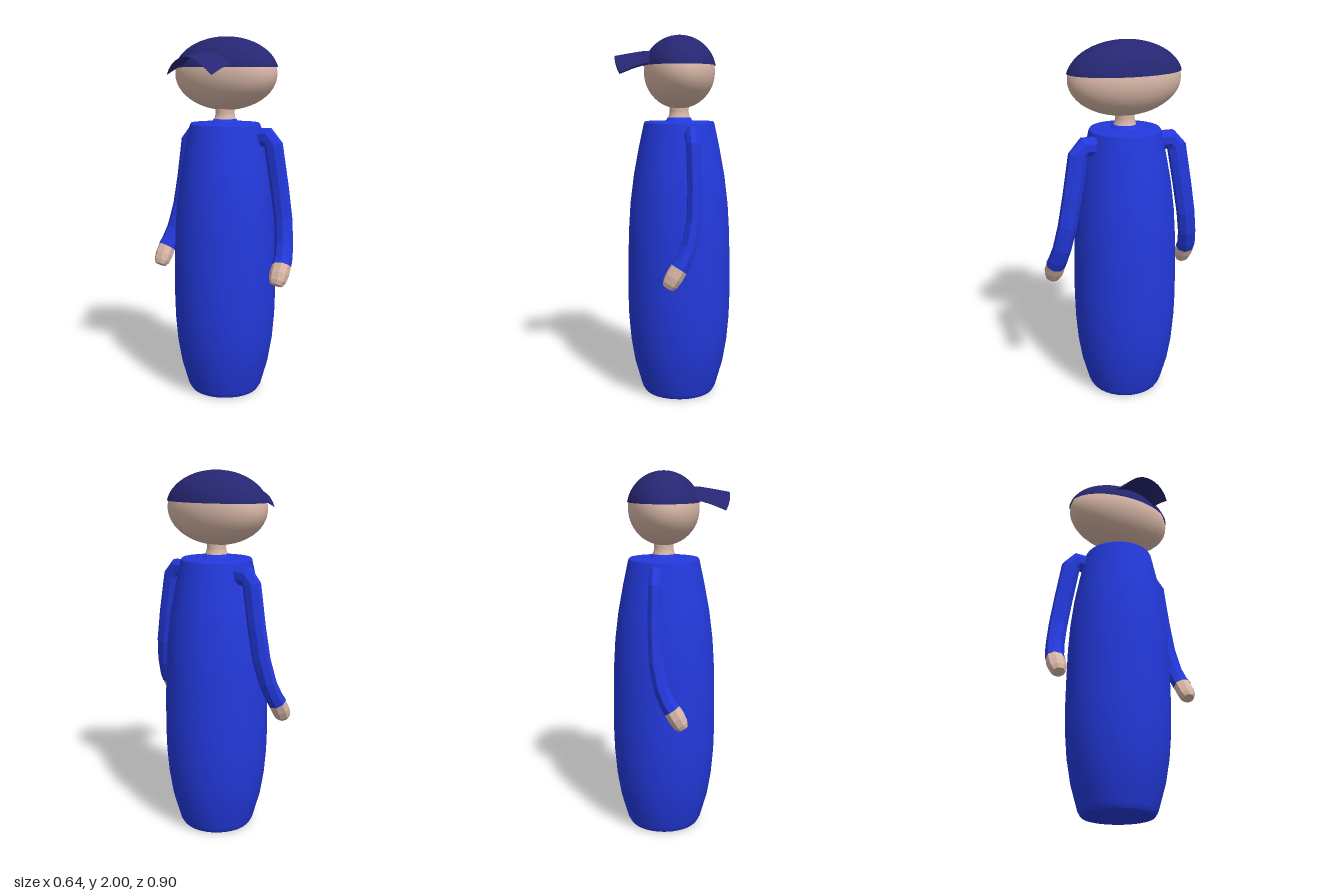
import * as THREE from 'three';

const mat = (name, color, extra = {}) => {
  const m = new THREE.MeshStandardMaterial({ color, ...extra });
  m.name = name;
  return m;
};

// Ruled grid of points turned into a surface: point(row, column) returns [x, y, z]
function gridSurface(rows, cols, point) {
  const pos = [], idx = [];
  for (let r = 0; r <= rows; r++) for (let c = 0; c <= cols; c++) pos.push(...point(r, c));
  for (let r = 0; r < rows; r++) for (let c = 0; c < cols; c++) {
    const a = r * (cols + 1) + c, b = a + cols + 1;
    idx.push(a, a + 1, b, a + 1, b + 1, b);
  }
  const g = new THREE.BufferGeometry();
  g.setAttribute('position', new THREE.Float32BufferAttribute(pos, 3));
  g.setIndex(idx);
  g.computeVertexNormals();
  return g;
}

// Eight-sided limb through stations [x, y, z, halfWidth, halfDepth], capped at both ends
function limb(stations) {
  const P = stations.map(s => new THREE.Vector3(s[0], s[1], s[2]));
  const n = P.length, pos = [], idx = [];
  stations.forEach((s, i) => {
    const t = P[Math.min(i + 1, n - 1)].clone().sub(P[Math.max(i - 1, 0)]).normalize();
    const u = new THREE.Vector3(1, 0, 0).addScaledVector(t, -t.x).normalize();
    const v = t.clone().cross(u);
    for (let k = 0; k < 8; k++) {
      const a = (k + 0.5) * Math.PI / 4;
      const p = P[i].clone().addScaledVector(u, Math.cos(a) * s[3] * 1.06).addScaledVector(v, Math.sin(a) * s[4] * 1.06);
      pos.push(p.x, p.y, p.z);
    }
  });
  for (let i = 0; i < n - 1; i++) for (let k = 0; k < 8; k++) {
    const a = i * 8 + k, b = i * 8 + (k + 1) % 8;
    idx.push(a, b, a + 8, b, b + 8, a + 8);
  }
  for (let k = 1; k < 7; k++) {
    const e = (n - 1) * 8;
    idx.push(0, k + 1, k, e, e + k, e + k + 1);
  }
  const g = new THREE.BufferGeometry();
  g.setAttribute('position', new THREE.Float32BufferAttribute(pos, 3));
  g.setIndex(idx);
  g.computeVertexNormals();
  return g;
}

const lathe = (pts, sides) => new THREE.LatheGeometry(pts.map(p => new THREE.Vector2(p[0], p[1])), sides);

export function createModel() {
  const model = new THREE.Group();
  model.name = 'cappedFigure';
  const blue = mat('robeBlue', 0x2339dc);
  const sleeveBlue = blue.clone();
  sleeveBlue.flatShading = true;
  const skin = mat('skin', 0xd9b8a8);
  const handSkin = skin.clone();
  handSkin.flatShading = true;
  const navy = mat('capNavy', 0x262673, { side: THREE.DoubleSide });
  const cx = 0.03;

  const add = (name, geometry, material, parent = model) => {
    const m = new THREE.Mesh(geometry, material);
    m.name = name;
    parent.add(m);
    return m;
  };

  // Robe: barrel-shaped side with separate flat ends
  const side = [[0.195, 0.005], [0.21, 0.03], [0.25, 0.17], [0.272, 0.3], [0.284, 0.44], [0.288, 0.58],
    [0.286, 0.75], [0.282, 0.92], [0.272, 1.08], [0.252, 1.24], [0.224, 1.39], [0.195, 1.525]];
  add('robe', lathe(side, 32), blue).position.x = cx;
  add('robeBase', lathe([[0, 0], [0.19, 0], [0.195, 0.005]], 32), blue).position.x = cx;
  add('robeShoulders', lathe([[0.195, 1.525], [0.188, 1.535], [0.08, 1.537], [0, 1.537]], 32), blue).position.x = cx;

  // Collar and neck
  add('collar', lathe([[0.082, 1.535], [0.07, 1.543], [0.064, 1.556], [0, 1.556]], 24), blue).position.x = cx;
  add('neck', lathe([[0.063, 1.55], [0.056, 1.57], [0.052, 1.59], [0.056, 1.64]], 24), skin).position.x = cx;

  // Head: wide ellipsoid
  const head = add('head', new THREE.SphereGeometry(1, 32, 24), skin);
  head.scale.set(0.193, 0.196, 0.314);
  head.position.set(cx, 1.8, 0);

  // Cap: dome over the upper part of the head
  const dome = add('capDome', new THREE.SphereGeometry(1, 32, 12, 0, Math.PI * 2, 0, 1.395), navy);
  dome.scale.set(0.2, 0.2, 0.322);
  dome.position.set(cx, 1.8, 0);

  // Brim: arched sheet flaring into the dome
  add('capBrim', gridSurface(4, 12, (r, c) => {
    const t = c / 6 - 1, q = t * t;
    const rows = [
      [-0.322 + 0.028 * q * q, 1.887 - 0.092 * q, 0.145],
      [-0.24 + 0.02 * q, 1.902 - 0.077 * q, 0.146],
      [-0.165 + 0.01 * q, 1.914 - 0.069 * q, 0.147],
      [-0.13 + 0.01 * q, 1.915 - 0.066 * q, 0.165],
      [-0.1 + 0.01 * q, 1.91 - 0.06 * q, 0.21],
    ];
    const [x, y, w] = rows[r];
    return [x, y, w * t];
  }), navy);

  // Arms: sleeves and hands, mirrored in z
  const sleeve = [
    [0.078, 1.46, 0.15, 0.037, 0.052], [0.078, 1.462, 0.25, 0.037, 0.052], [0.08, 1.42, 0.285, 0.037, 0.052],
    [0.084, 1.2, 0.323, 0.037, 0.051], [0.078, 1.03, 0.353, 0.038, 0.05], [0.052, 0.9, 0.377, 0.04, 0.049],
    [0.02, 0.825, 0.392, 0.043, 0.05], [-0.005, 0.787, 0.398, 0.046, 0.052],
  ];
  const hand = [
    [-0.003, 0.79, 0.398, 0.044, 0.05], [-0.03, 0.745, 0.4, 0.045, 0.052],
    [-0.05, 0.71, 0.4, 0.04, 0.046], [-0.062, 0.69, 0.4, 0.03, 0.033],
  ];
  const mirrored = (geometry, s) => {
    if (s > 0) return geometry;
    const g = geometry.clone().scale(1, 1, -1);
    g.index.array.reverse();
    g.computeVertexNormals();
    return g;
  };
  for (const s of [1, -1]) {
    const arm = new THREE.Group();
    arm.name = s > 0 ? 'leftArm' : 'rightArm';
    add('sleeve', mirrored(limb(sleeve), s), sleeveBlue, arm);
    add('hand', mirrored(limb(hand), s), handSkin, arm);
    model.add(arm);
  }
  return model;
}
